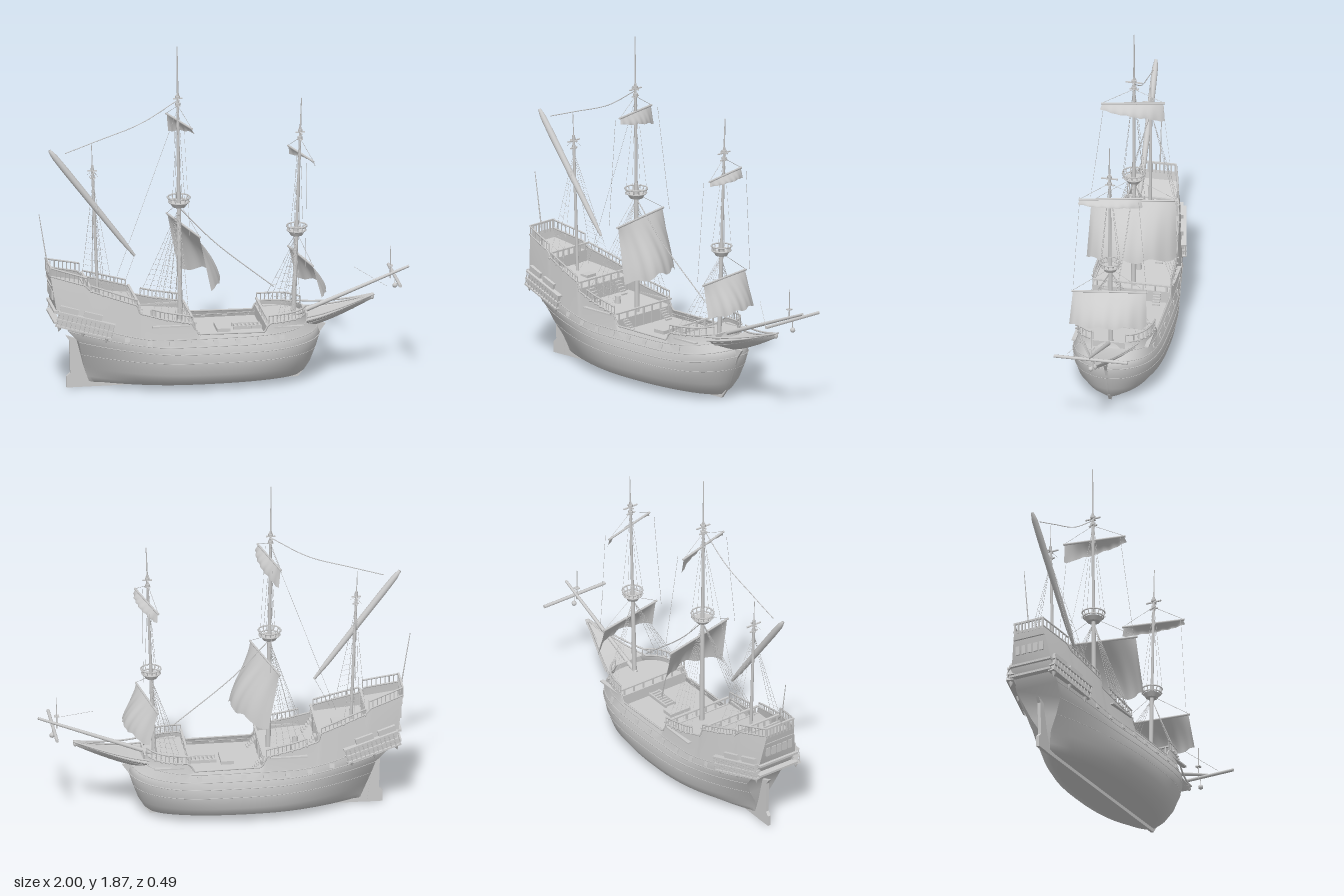
import * as THREE from 'three';

const grey = new THREE.MeshStandardMaterial({ color: 0xcccccc, side: THREE.DoubleSide });
grey.name = 'lightGrey';
const V = (x, y, z) => new THREE.Vector3(x, y, z);
const { lerp, clamp } = THREE.MathUtils;

function add(parent, name, geo, pos) {
  const m = new THREE.Mesh(geo, grey);
  m.name = name;
  if (pos) m.position.copy(pos);
  parent.add(m);
  return m;
}
function box(parent, name, sx, sy, sz, x, y, z) {
  return add(parent, name, new THREE.BoxGeometry(sx, sy, sz), V(x, y, z));
}
// tapered round bar from a to b
function bar(parent, name, a, b, r0, r1 = r0, sides = 6) {
  const m = add(parent, name, new THREE.CylinderGeometry(r1, r0, a.distanceTo(b), sides), a.clone().lerp(b, 0.5));
  m.quaternion.setFromUnitVectors(V(0, 1, 0), b.clone().sub(a).normalize());
  return m;
}
const rope = (parent, name, a, b, r = 0.0009) => bar(parent, name, a, b, r, r, 4);
function tube(parent, name, pts, r, n = 40) {
  return add(parent, name, new THREE.TubeGeometry(new THREE.CatmullRomCurve3(pts), n, r, 5));
}
// surface from a rule f(u, v), both 0..1
function grid(nu, nv, f) {
  const p = [], idx = [];
  for (let i = 0; i <= nu; i++) for (let j = 0; j <= nv; j++) p.push(...f(i / nu, j / nv).toArray());
  for (let i = 0; i < nu; i++) for (let j = 0; j < nv; j++) {
    const a = i * (nv + 1) + j, b = a + nv + 1;
    idx.push(a, a + 1, b, b, a + 1, b + 1);
  }
  const g = new THREE.BufferGeometry();
  g.setAttribute('position', new THREE.Float32BufferAttribute(p, 3));
  g.setIndex(idx);
  g.computeVertexNormals();
  return g;
}
function plate(parent, name, outline, t) {
  const s = new THREE.Shape(outline.map(([x, y]) => new THREE.Vector2(x, y)));
  return add(parent, name, new THREE.ExtrudeGeometry(s, { depth: t, bevelEnabled: false }), V(0, 0, -t / 2));
}

// hull waterlines: y, stern lift, bow lift, stern x, bow x, half width, stern half width, bow fullness, stern fullness
const LEVELS = [
  [0.02, 0, 0, -0.73, 0.40, 0.006, 0.006, 4, 2.2],
  [0.022, 0.01, 0, -0.73, 0.405, 0.14, 0.007, 2.2, 2.2],
  [0.05, 0.01, 0, -0.74, 0.435, 0.2, 0.012, 2.5, 2.2],
  [0.10, 0.02, 0, -0.76, 0.465, 0.232, 0.03, 3, 2.2],
  [0.17, 0.03, 0.01, -0.78, 0.495, 0.245, 0.075, 3.5, 2.2],
  [0.22, 0.06, 0.03, -0.80, 0.515, 0.242, 0.11, 4, 2.2],
  [0.26, 0.09, 0.03, -0.86, 0.50, 0.234, 0.125, 5, 2.2],
  [0.30, 0.15, 0.03, -0.92, 0.45, 0.219, 0.12, 7, 2.2],
  [0.32, 0, 0, -0.95, 0.44, 0.21, 0.088, 8, 1.8]];
const SHEER = [[-0.95, 0.65], [-0.76, 0.6], [-0.75, 0.575], [-0.5, 0.495], [-0.485, 0.45], [-0.36, 0.415],
  [-0.2, 0.385], [-0.18, 0.325], [0.19, 0.32], [0.21, 0.365], [0.44, 0.375]];
function sheer(x) {
  for (let i = 1; i < SHEER.length; i++) {
    const [a, ya] = SHEER[i - 1], [b, yb] = SHEER[i];
    if (x <= b) return lerp(ya, yb, clamp((x - a) / (b - a), 0, 1));
  }
  return 0.375;
}
function hullPoint(level, u, side) {
  const [y, ls, lb, xs, xb, w, ws, p, q] = LEVELS[level];
  const x = lerp(xs, xb, u);
  const z = u < 0.55 ? ws + (w - ws) * (1 - (1 - u / 0.55) ** q)
    : w * Math.sqrt(Math.max(0, 1 - ((u - 0.55) / 0.45) ** p));
  const yy = level === 8 ? sheer(x)
    : y + ls * Math.max(0, (0.4 - u) / 0.4) ** 1.5 + lb * Math.max(0, (u - 0.7) / 0.3) ** 2;
  return V(x, yy, z * side);
}
const topHalf = x => hullPoint(8, clamp((x + 0.95) / 1.39, 0, 1), 1).z;

function buildHull(g) {
  add(g, 'hull', grid(130, 16, (s, v) => {
    const k = Math.round(v * 16) - 8;
    return hullPoint(Math.abs(k), 1 - (1 - s) ** 1.6, Math.sign(k));
  }));
  add(g, 'transom', grid(8, 1, (u, v) => hullPoint(Math.round(u * 8), 0, v * 2 - 1)));
  plate(g, 'keel', [[-0.8, 0], [0.4, 0], [0.43, 0.04], [0.475, 0.13], [0.515, 0.24], [0.55, 0.29], [0.45, 0.3], [0.38, 0.04], [-0.72, 0.04], [-0.79, 0.27], [-0.81, 0.27]], 0.014);
  plate(g, 'rudder', [[-0.85, 0], [-0.765, 0], [-0.8, 0.27], [-0.855, 0.29], [-0.835, 0.26], [-0.83, 0.08], [-0.85, 0.06]], 0.018);
  for (const s of [-1, 1]) {
    // wales and cap rail follow the planking
    for (const l of [4, 5, 6, 7]) {
      const pts = [];
      for (let i = 0; i <= 30; i++) pts.push(hullPoint(l, 1 - (1 - i / 30) ** 1.6, s));
      tube(g, 'wale', pts, l === 4 ? 0.0015 : 0.0025, 70);
    }
    const cap = [];
    for (let i = 0; i <= 70; i++) cap.push(hullPoint(8, i / 70 * 0.985, s));
    tube(g, 'capRail', cap, 0.005, 140);
    // gun port lids
    for (let i = 0; i < 9; i++) {
      const p = hullPoint(6, 0.16 + i * 0.087, s).lerp(hullPoint(7, 0.16 + i * 0.087, s), 0.5);
      box(g, 'gunPort', 0.026, 0.024, 0.009, p.x, p.y, p.z).rotation.x = -s * 0.25;
    }
    // channels carrying the shrouds
    for (const [x, l] of [[-0.32, 0.2], [0.32, 0.16]])
      box(g, 'channel', l, 0.008, 0.022, x, sheer(x) - 0.03, s * (topHalf(x) + 0.008));
  }
}

function buildDecks(g) {
  for (const [name, a, b, ya, yb] of [['waistDeck', -0.2, 0.22, 0.285, 0.285], ['foreDeck', 0.2, 0.44, 0.335, 0.345],
    ['quarterDeck', -0.5, -0.19, 0.38, 0.345], ['aftDeck', -0.76, -0.49, 0.5, 0.455], ['poopDeck', -0.95, -0.75, 0.6, 0.55]]) {
    add(g, name, grid(14, 1, (u, v) => {
      const x = lerp(a, b, u);
      return V(x, lerp(ya, yb, u), (v * 2 - 1) * (topHalf(x) + 0.003));
    }));
  }
  for (const [x, y0, y1] of [[-0.19, 0.28, 0.35], [0.205, 0.28, 0.345], [-0.49, 0.34, 0.46], [-0.75, 0.45, 0.56], [0.435, 0.28, 0.375]]) {
    const w = topHalf(Math.min(x, 0.425));
    box(g, 'bulkhead', 0.01, y1 - y0, 2 * w, x, (y0 + y1) / 2, 0);
    if (x > 0.4) continue;
    for (let i = -3; i <= 3; i++) box(g, 'bulkheadPost', 0.008, y1 - y0 + 0.035, 0.008, x + 0.004, (y0 + y1) / 2 + 0.018, i * w * 0.3);
    box(g, 'bulkheadRail', 0.012, 0.008, 2 * w, x + 0.004, y1 + 0.036, 0);
  }
  // hatches, ladders, capstan
  box(g, 'mainHatch', 0.07, 0.02, 0.13, -0.01, 0.294, 0);
  for (let i = 0; i < 7; i++) box(g, 'grating', 0.01, 0.014, 0.07, 0.06 + i * 0.022, 0.294, 0);
  for (const z of [-0.03, 0.03]) box(g, 'gratingEdge', 0.16, 0.018, 0.008, 0.126, 0.295, z);
  for (const s of [-1, 1]) for (let i = 0; i < 5; i++) {
    box(g, 'step', 0.012, 0.008, 0.04, -0.14 - i * 0.01, 0.295 + i * 0.011, s * 0.14);
    box(g, 'step', 0.012, 0.008, 0.04, -0.43 - i * 0.011, 0.385 + i * 0.015, s * 0.1);
  }
  add(g, 'capstan', new THREE.CylinderGeometry(0.014, 0.018, 0.04, 10), V(-0.38, 0.385, 0));
  box(g, 'aftHatch', 0.05, 0.02, 0.07, -0.6, 0.475, 0);
  // open rails with balusters
  for (const [a, b, h] of [[-0.945, -0.76, 0.045], [-0.74, -0.5, 0.03], [-0.42, -0.2, 0.04], [0.21, 0.425, 0.042]]) {
    const n = Math.round((b - a) / 0.022);
    for (const s of [-1, 1]) {
      const pts = [];
      for (let i = 0; i <= n; i++) {
        const x = lerp(a, b, i / n), p = V(x, sheer(x) + h, s * topHalf(x));
        pts.push(p);
        bar(g, 'baluster', V(x, sheer(x), p.z), p, 0.003, 0.003, 5);
      }
      tube(g, 'handRail', pts, 0.005, 24);
    }
  }
  box(g, 'sternRail', 0.01, 0.01, 0.18, -0.947, 0.695, 0);
  for (let i = -4; i <= 4; i++) box(g, 'sternPost', 0.007, 0.06, 0.007, -0.947, 0.665, i * 0.021);
  for (let i = -2; i <= 2; i++) box(g, 'sternWindow', 0.008, 0.05, 0.025, -0.937, 0.54, i * 0.036);
  for (const y of [0.4, 0.46]) box(g, 'sternGallery', 0.035, 0.012, 0.25, -0.92, y, 0);
  // quarter galleries
  for (const s of [-1, 1]) {
    const q = new THREE.Group();
    q.name = 'quarterGallery';
    q.position.set(-0.775, 0.385, s * 0.158);
    q.rotation.set(0, -s * 0.2, -0.23);
    g.add(q);
    box(q, 'galleryBody', 0.29, 0.07, 0.03, 0, 0.008, -s * 0.005);
    for (const y of [-0.032, 0.005, 0.045]) box(q, 'galleryMoulding', 0.31, 0.008, 0.04, 0, y, 0);
    for (let i = 0; i < 13; i++) bar(q, 'galleryPost', V(-0.15 + i * 0.025, -0.03, s * 0.016), V(-0.15 + i * 0.025, 0.045, s * 0.016), 0.003);
    for (const x of [-0.1, 0.03]) box(q, 'galleryRoof', 0.1, 0.035, 0.035, x, 0.062, -s * 0.012);
    for (const x of [-0.13, 0, 0.13]) add(q, 'galleryCorbel', new THREE.ConeGeometry(0.015, 0.035, 8), V(x, -0.05, 0)).rotation.x = Math.PI;
  }
}

function buildBow(g) {
  const top = u => 0.348 + 0.09 * u ** 1.5, low = u => 0.272 + 0.145 * u ** 1.4, half = u => 0.006 + 0.13 * (1 - u) ** 1.1;
  add(g, 'beakhead', grid(16, 10, (u, v) => {
    const k = v * 2 - 1;
    return V(lerp(0.43, 0.81, u), lerp(low(u), top(u), Math.abs(k) ** 1.5), k * half(u));
  }));
  add(g, 'beakDeck', grid(16, 1, (u, v) => V(lerp(0.43, 0.8, u), top(u) - 0.008, (v * 2 - 1) * half(u) * 0.95)));
  for (const s of [-1, 1]) for (const [y, k] of [[0.025, 1.15], [0, 1.02], [-0.03, 0.75]])
    tube(g, 'beakRail', [0, 0.2, 0.4, 0.6, 0.8, 1].map(u => V(lerp(0.42, 0.81, u), top(u) + y * (1 - u), s * half(u) * k)), 0.005);
  add(g, 'figurehead', new THREE.SphereGeometry(0.012, 10, 8), V(0.8, 0.424, 0)).scale.set(1, 1.4, 0.8);
  bar(g, 'bowsprit', V(0.36, 0.335, 0), V(1, 0.583, 0), 0.013, 0.007, 10);
  bar(g, 'spritYard', V(0.922, 0.535, -0.2), V(0.922, 0.535, 0.2), 0.009, 0.009, 8);
  bar(g, 'spritMast', V(0.9, 0.52, 0), V(0.9, 0.7, 0), 0.004, 0.002);
  box(g, 'spritTop', 0.025, 0.006, 0.025, 0.9, 0.59, 0);
  add(g, 'hangingBlock', new THREE.SphereGeometry(0.014, 8, 6), V(0.925, 0.48, 0));
  bar(g, 'blockRope', V(0.925, 0.48, 0), V(0.922, 0.54, 0), 0.002);
  tube(g, 'spritRope', [V(0.7, 0.6, 0.02), V(0.78, 0.56, 0.08), V(0.86, 0.52, 0.14)], 0.001);
}

// mast: heights, nest and shrouds
function buildMast(g, name, foot, tip, r, nestY, nestR, crossY, spread) {
  const m = new THREE.Group();
  m.name = name;
  g.add(m);
  const at = y => foot.clone().lerp(tip, (y - foot.y) / (tip.y - foot.y));
  bar(m, 'lowerMast', foot, at(nestY + 0.06), r, r * 0.8, 10);
  bar(m, 'topMast', at(nestY - 0.02), at(crossY + 0.03), r * 0.65, r * 0.5, 8);
  bar(m, 'poleMast', at(crossY - 0.03), tip, r * 0.4, r * 0.2, 6);
  if (nestR) {
    add(m, 'crowsNest', new THREE.CylinderGeometry(nestR * 0.85, nestR * 0.6, 0.022, 16), at(nestY - 0.012));
    for (const [y, k] of [[0.005, 0.95], [0.03, 1.05]])
      add(m, 'nestRing', new THREE.TorusGeometry(nestR * k, 0.004, 5, 20), at(nestY + y)).rotation.x = Math.PI / 2;
    for (let i = 0; i < 12; i++) {
      const a = i * Math.PI / 6, d = V(Math.cos(a) * nestR, 0, Math.sin(a) * nestR);
      bar(m, 'nestPost', at(nestY).add(d.clone().multiplyScalar(0.85)), at(nestY + 0.03).add(d), 0.003);
    }
  }
  for (const k of [0, 0.04]) {
    const c = at(crossY - k).toArray();
    box(m, 'crosstree', 0.008, 0.006, 0.09 - k, ...c);
    box(m, 'crosstree', 0.05 - k * 0.5, 0.006, 0.008, ...c);
    add(m, 'mastCap', new THREE.CylinderGeometry(r, r, 0.012, 8), at(crossY - k + 0.01));
  }
  for (const s of [-1, 1]) {
    const [a, b, n] = spread, head = at(nestY - 0.03), feet = [];
    for (let i = 0; i < n; i++) {
      const x = lerp(a, b, i / (n - 1));
      feet.push(V(x, sheer(x), s * (topHalf(x) + 0.01)));
      rope(m, 'shroud', feet[i], head);
      add(m, 'deadeye', new THREE.SphereGeometry(0.006, 6, 5), feet[i]);
    }
    for (let k = 1; k < 16; k++) rope(m, 'ratline', feet[0].clone().lerp(head, k / 17), feet[n - 1].clone().lerp(head, k / 17), 0.0006);
    for (const dx of [-0.025, 0.025]) rope(m, 'topShroud', at(nestY).add(V(dx, 0, s * (nestR || 0.03))), at(crossY));
  }
}

// square sail hung from a yard, filled by the wind; drops are for the right and left edges
function buildSail(g, name, a, b, drops, rake, bulge, lift) {
  bar(g, name + 'Yard', a, b, 0.006, 0.006, 8);
  add(g, name, grid(32, 16, (s, t) => {
    const belly = Math.max(0, Math.sin(Math.PI * s)) ** 0.7 * Math.sin(Math.PI * 0.5 * t);
    const p = a.clone().lerp(b, 0.02 + s * 0.96);
    p.x += rake * t + bulge * belly + 0.003 * Math.sin(s * 40) * t;
    p.y -= lerp(drops[0], drops[1], s) * t * (1 - 0.1 * Math.sin(Math.PI * s) + 0.04 * Math.sin(s * 19));
    p.z *= 1 + 0.06 * t;
    return p;
  }));
  for (const e of [a, b]) rope(g, 'lift', e, lift, 0.0013);
}

export function createModel() {
  const g = new THREE.Group();
  g.name = 'sailingShip';
  buildHull(g);
  buildDecks(g);
  buildBow(g);
  buildMast(g, 'mainMast', V(-0.235, 0.3, 0), V(-0.252, 1.87, 0), 0.014, 1.0, 0.058, 1.58, [-0.42, -0.22, 6]);
  buildMast(g, 'foreMast', V(0.375, 0.3, 0), V(0.42, 1.55, 0), 0.013, 0.81, 0.052, 1.36, [0.25, 0.39, 5]);
  buildMast(g, 'mizzenMast', V(-0.68, 0.48, 0), V(-0.715, 1.35, 0), 0.009, 1.17, 0, 1.2, [-0.74, -0.62, 3]);
  buildSail(g, 'mainSail', V(-0.27, 0.87, -0.235), V(-0.165, 0.87, 0.225), [0.31, 0.3], 0.06, 0.118, V(-0.24, 1, 0));
  buildSail(g, 'foreSail', V(0.38, 0.665, -0.2), V(0.45, 0.67, 0.2), [0.18, 0.175], 0.045, 0.075, V(0.395, 0.8, 0));
  buildSail(g, 'mainTopsail', V(-0.285, 1.45, -0.16), V(-0.2, 1.46, 0.17), [0.1, 0.03], 0.01, 0.035, V(-0.248, 1.54, 0));
  buildSail(g, 'foreTopsail', V(0.375, 1.235, -0.17), V(0.46, 1.24, 0.16), [0.05, 0.025], 0.005, 0.035, V(0.41, 1.33, 0));
  // lateen yard with furled sail, slimmer at both ends
  const a = V(-0.485, 0.722, 0.02), b = V(-0.945, 1.33, 0.02), len = a.distanceTo(b);
  const profile = [[0, -0.5], [0.007, -0.5], [0.014, -0.35], [0.017, 0], [0.018, 0.3], [0.016, 0.44], [0.008, 0.5], [0, 0.5]];
  const lateen = add(g, 'lateenSail', new THREE.LatheGeometry(profile.map(([r, y]) => new THREE.Vector2(r, y * len)), 12), a.clone().lerp(b, 0.5));
  lateen.quaternion.setFromUnitVectors(V(0, 1, 0), b.clone().sub(a).normalize());
  bar(g, 'ensignStaff', V(-0.945, 0.64, 0), V(-0.998, 0.97, 0), 0.004, 0.002);
  // running rigging
  tube(g, 'peakRope', [V(-0.25, 1.57, 0), V(-0.45, 1.45, 0), V(-0.68, 1.37, 0.01), V(-0.86, 1.31, 0.02)], 0.0025);
  tube(g, 'mainStay', [V(-0.23, 0.96, 0), V(-0.05, 0.77, 0), V(0.27, 0.505, 0)], 0.003);
  for (const [p, q] of [[V(-0.25, 1.52, 0), V(-0.6, 0.54, 0)], [V(-0.485, 0.725, 0.02), V(-0.58, 0.52, 0.1)]]) rope(g, 'rope', p, q);
  for (const s of [-1, 1]) {
    rope(g, 'mainBrace', V(-0.24, 1.45, s * 0.16), V(-0.22, 0.87, s * 0.23));
    rope(g, 'foreBrace', V(0.42, 1.235, s * 0.16), V(0.41, 0.67, s * 0.2));
  }
  return g;
}
